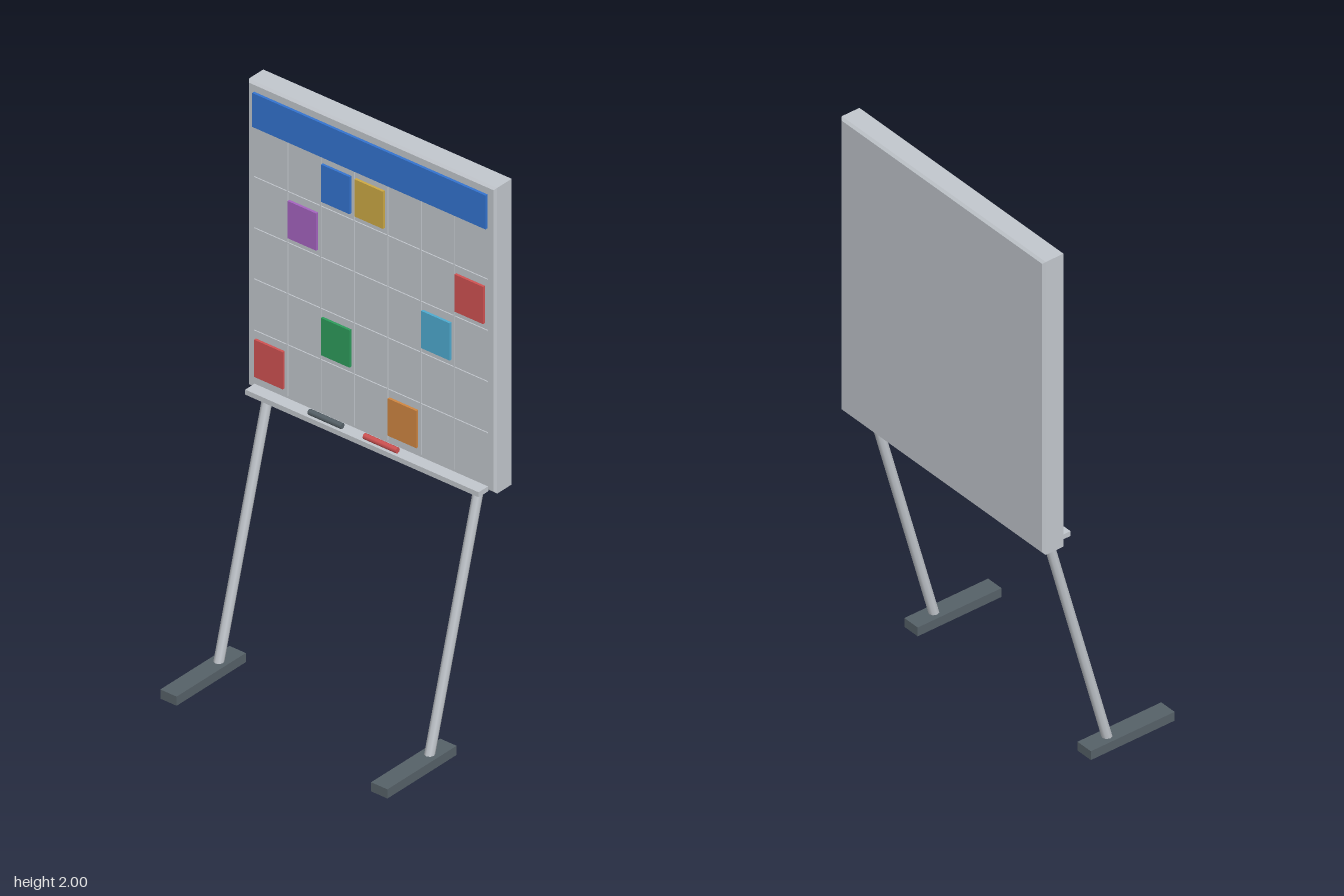
import * as THREE from 'three';

const mat = (name, color) => {
  const m = new THREE.MeshStandardMaterial({ color });
  m.name = name;
  return m;
};

export function createModel() {
  const silver = mat('silver', 0xc2c7cd);
  const charcoal = mat('charcoal', 0x566168);
  const blue = mat('blue', 0x3474d0);
  const yellow = mat('yellow', 0xcda945);
  const purple = mat('purple', 0xa564c0);
  const red = mat('red', 0xd05252);
  const cyan = mat('cyan', 0x4fabd0);
  const green = mat('green', 0x2e9c5c);
  const orange = mat('orange', 0xd08742);

  const model = new THREE.Group();
  model.name = 'planningBoard';

  const add = (name, geometry, material, x, y, z) => {
    const mesh = new THREE.Mesh(geometry, material);
    mesh.name = name;
    mesh.position.set(x, y, z);
    model.add(mesh);
    return mesh;
  };
  const box = (name, w, h, d, material, x, y, z) =>
    add(name, new THREE.BoxGeometry(w, h, d), material, x, y, z);

  // Board slab with a small chamfer all round
  const bevel = 0.008, halfW = 0.495 - bevel, halfH = 0.55 - bevel;
  const outline = new THREE.Shape([
    new THREE.Vector2(-halfW, -halfH), new THREE.Vector2(halfW, -halfH),
    new THREE.Vector2(halfW, halfH), new THREE.Vector2(-halfW, halfH),
  ]);
  const slab = new THREE.ExtrudeGeometry(outline, {
    depth: 0.085 - 2 * bevel, bevelSize: bevel, bevelThickness: bevel, bevelSegments: 1,
  });
  add('board', slab, silver, 0, 1.45, -0.275 + bevel);

  // Header strip
  box('header', 0.93, 0.122, 0.0095, blue, 0, 1.909, -0.1825);

  // Thin raised grid: seven columns, five rows
  const colStep = 0.133, rowStep = 0.184, topRow = 1.755;
  for (let i = 0; i < 6; i++)
    box('gridColumnLine', 0.003, 0.92, 0.004, silver, (i - 2.5) * colStep, 1.387, -0.188);
  for (let i = 0; i < 4; i++)
    box('gridRowLine', 0.93, 0.003, 0.004, silver, 0, topRow - (i + 0.5) * rowStep, -0.188);

  // Coloured notes: column from the centre, row from the top
  const notes = [
    [-1, 0, blue], [0, 0, yellow], [-2, 1, purple], [3, 1, red],
    [2, 2, cyan], [-1, 3, green], [-3, 4, red], [1, 4, orange],
  ];
  for (const [col, row, material] of notes)
    box('note', 0.114, 0.134, 0.009, material, col * colStep, topRow - row * rowStep, -0.1815);

  // Pen tray and two pens
  box('tray', 0.93, 0.018, 0.047, silver, 0, 0.909, -0.1685);
  const pen = new THREE.CylinderGeometry(0.01, 0.01, 0.132, 8).rotateZ(Math.PI / 2);
  add('darkPen', pen, charcoal, -0.155, 0.929, -0.159);
  add('redPen', pen, red, 0.065, 0.929, -0.159);

  // Sloping legs and flat feet
  const top = new THREE.Vector3(0, 0.915, -0.207);
  const bottom = new THREE.Vector3(0, 0.005, 0.045);
  const along = top.clone().sub(bottom);
  const legGeometry = new THREE.CylinderGeometry(0.017, 0.017, along.length(), 8);
  for (const side of [-1, 1]) {
    const leg = add(side > 0 ? 'leftLeg' : 'rightLeg', legGeometry, silver,
      side * 0.42, (top.y + bottom.y) / 2, (top.z + bottom.z) / 2);
    leg.quaternion.setFromUnitVectors(new THREE.Vector3(0, 1, 0), along.clone().normalize());
    box(side > 0 ? 'leftFoot' : 'rightFoot', 0.065, 0.033, 0.33, charcoal, side * 0.42, 0.0275, 0.11);
  }

  return model;
}
